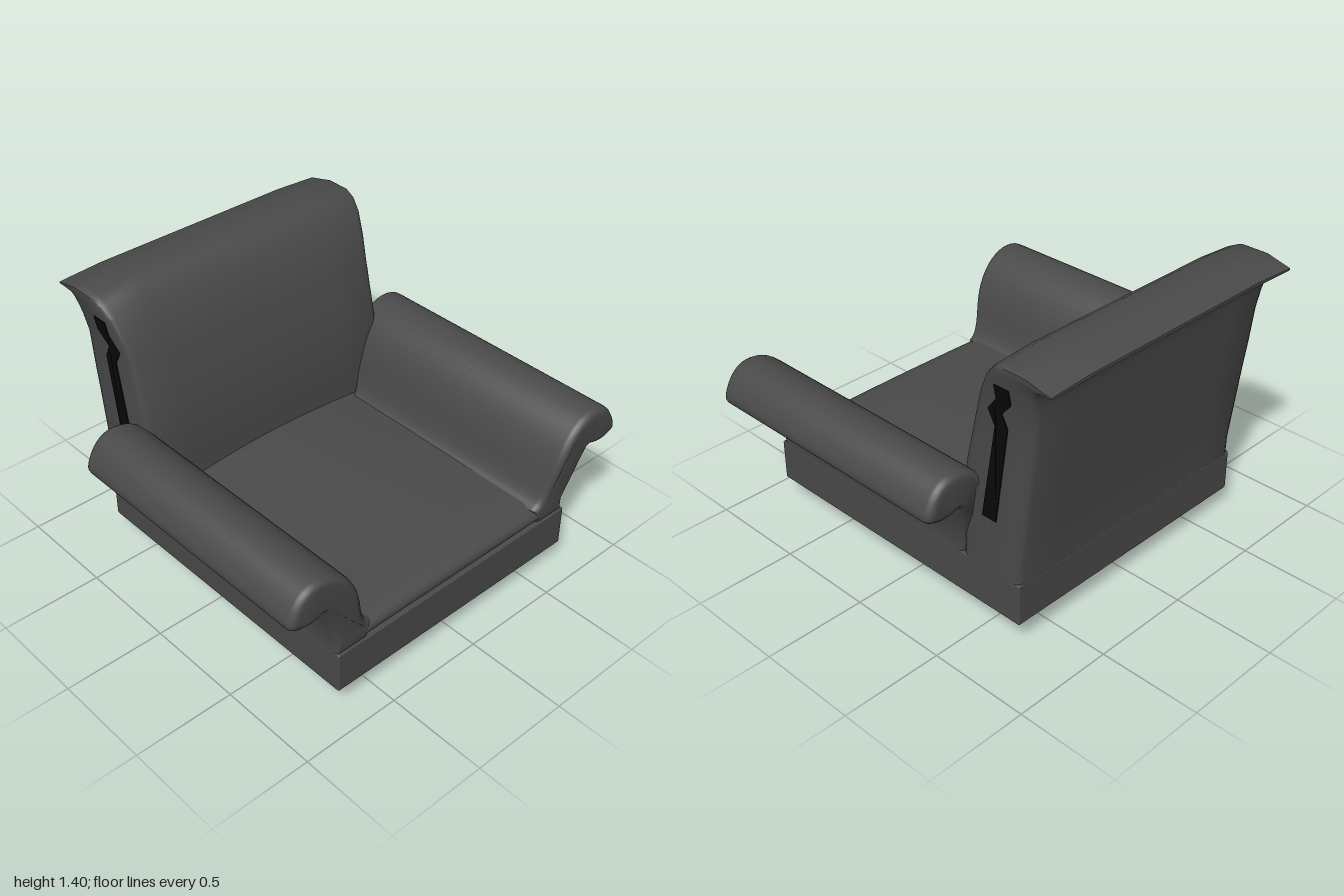
import * as THREE from 'three';
import { toCreasedNormals } from 'three/addons/utils/BufferGeometryUtils.js';
import { RoundedBoxGeometry } from 'three/addons/geometries/RoundedBoxGeometry.js';

const { clamp, smoothstep } = THREE.MathUtils;
const fabric = new THREE.MeshStandardMaterial({ color: 0x4a4a4a });
const dark = new THREE.MeshStandardMaterial({ color: 0x080808 });

// Half width of the backrest, flaring towards the top
const halfWidth = (y) => 0.715 + 0.045 * clamp((y - 1.13) / 0.25, 0, 1);

const toShape = (pts) => new THREE.Shape(pts.map(([x, y]) => new THREE.Vector2(x, y)));

// Moves every vertex of a geometry by a rule
function deform(geo, rule) {
  const p = geo.attributes.position;
  const v = new THREE.Vector3();
  for (let i = 0; i < p.count; i++) {
    rule(v.fromBufferAttribute(p, i));
    p.setXYZ(i, v.x, v.y, v.z);
  }
  return geo;
}

function smooth(geo, angle) {
  geo.deleteAttribute('uv');
  return toCreasedNormals(geo, angle);
}

// Extrudes a side profile of [z, y] points across the width, centred on x = 0
function extrudeAcross(pts, width, steps) {
  const geo = new THREE.ExtrudeGeometry(toShape(pts), { depth: width, steps, bevelEnabled: false });
  return geo.translate(0, 0, -width / 2).rotateY(-Math.PI / 2);
}

// Rolled arm: one cross-section run front to back with rounded ends
function armGeometry(side) {
  const roll = [
    [0.79, 0.6], [0.815, 0.648], [0.85, 0.638], [0.9, 0.628], [0.96, 0.642], [0.997, 0.67],
    [0.985, 0.725], [0.945, 0.79], [0.89, 0.828], [0.82, 0.834], [0.75, 0.81], [0.685, 0.755],
    [0.635, 0.67], [0.602, 0.58], [0.573, 0.475], [0.545, 0.415], [0.515, 0.395],
  ].map(([x, y]) => new THREE.Vector3(x, y, 0));
  const curve = new THREE.CatmullRomCurve3(roll).getPoints(40).map((p) => [p.x, p.y]);
  const outline = [[0.54, 0.31], [0.714, 0.31], [0.714, 0.385], ...curve];
  const shape = toShape(outline.map(([x, y]) => [x * side, y]));
  const bevel = 0.035;
  const geo = new THREE.ExtrudeGeometry(shape, {
    depth: 1.25 - 2 * bevel, bevelThickness: bevel, bevelSize: 0.03, bevelOffset: -0.03, bevelSegments: 4,
  });
  geo.translate(0, 0, -0.375 + bevel);
  // The roll overhangs the lower panel at both ends
  deform(geo, (v) => {
    const t = smoothstep(v.y, 0.38, 0.7);
    v.z += v.z > 0.25 ? 0.035 * t : -0.105 * t;
  });
  return smooth(geo, 0.9);
}

// Backrest: rings joining a front point to a back point, [frontZ, frontY, backZ, backY]
function backGeometry() {
  const rows = [
    [-0.375, 0.3, -0.708, 0.3], [-0.375, 0.42, -0.71, 0.4], [-0.38, 0.6, -0.735, 0.6],
    [-0.39, 0.8, -0.76, 0.8], [-0.425, 0.95, -0.78, 0.95], [-0.46, 1.1, -0.8, 1.13],
    [-0.495, 1.2, -0.81, 1.22], [-0.55, 1.305, -0.82, 1.27], [-0.6, 1.37, -0.84, 1.32],
    [-0.65, 1.4, -0.855, 1.333], [-0.78, 1.4, -0.88, 1.338], [-0.86, 1.375, -0.905, 1.342],
    [-0.915, 1.358, -0.915, 1.344],
  ];
  const half = [[0, 0], [0.35, 0], [0.7, 0], [0.955, 0], [0.988, 0.03], [1, 0.1], [1, 0.5],
    [1, 0.9], [0.988, 0.97], [0.955, 1], [0.7, 1], [0.35, 1], [0, 1]];
  const ring = [...half, ...half.slice(1, -1).reverse().map(([x, s]) => [-x, s])];
  const n = ring.length;
  const pos = [], index = [];
  rows.forEach(([fz, fy, bz, by], i) => {
    ring.forEach(([k, s], j) => {
      let y = fy + (by - fy) * s;
      const x = k * halfWidth(y);
      // Top edge sinks a little at the corners
      y -= 0.02 * clamp((Math.abs(x) - 0.55) / 0.2, 0, 1) * smoothstep(y, 1.3, 1.4);
      pos.push(x, y, fz + (bz - fz) * s);
      if (i > 0) {
        const a = (i - 1) * n + j, b = (i - 1) * n + ((j + 1) % n);
        index.push(a, b, b + n, a, b + n, a + n);
      }
    });
  });
  const last = (rows.length - 1) * n;
  for (let j = 1; j < n - 1; j++) {
    index.push(0, j + 1, j, last, last + j, last + j + 1);
  }
  const geo = new THREE.BufferGeometry();
  geo.setAttribute('position', new THREE.Float32BufferAttribute(pos, 3));
  geo.setIndex(index);
  return toCreasedNormals(geo, 0.9);
}

// Seat: rounded front edge and a crown rising towards the back
function seatGeometry() {
  const profile = [[-0.45, 0.335], [0.865, 0.335], [0.874, 0.345], [0.872, 0.365], [0.858, 0.383],
    [0.83, 0.394], [0.78, 0.4], [0.6, 0.4], [0.3, 0.4], [0, 0.4], [-0.3, 0.4], [-0.45, 0.4]];
  const geo = extrudeAcross(profile, 1.16, 16);
  deform(geo, (v) => {
    const rise = clamp((v.y - 0.345) / 0.055, 0, 1) * (0.25 + 0.75 * smoothstep(-v.z, -0.8, 0.1));
    v.y += 0.037 * rise * Math.cos((v.x / 1.16) * Math.PI);
  });
  return smooth(geo, 0.9);
}

// Dark kinked strip lying on a side of the backrest
function stripGeometry(side) {
  const pts = [[-0.5, 0.59], [-0.58, 0.59], [-0.65, 1.07], [-0.62, 1.13], [-0.68, 1.2], [-0.68, 1.27],
    [-0.6, 1.27], [-0.6, 1.2], [-0.54, 1.13], [-0.58, 1.06]];
  const geo = extrudeAcross(pts, 0.02, 1);
  deform(geo, (v) => { v.x += side * (halfWidth(v.y) - 0.005); });
  geo.computeVertexNormals();
  return geo;
}

// Leg: block tapering to a narrow foot
function legGeometry() {
  const geo = new THREE.BoxGeometry(0.176, 0.13, 0.16).translate(0, 0.065, 0);
  deform(geo, (v) => {
    if (v.y < 0.01) { v.x *= 0.22; v.z *= 0.62; }
  });
  return geo.toNonIndexed();
}

export function createModel() {
  const model = new THREE.Group();
  const add = (name, geo, material = fabric) => {
    if (!geo.attributes.normal) geo.computeVertexNormals();
    const mesh = new THREE.Mesh(geo, material);
    mesh.name = name;
    model.add(mesh);
    return mesh;
  };

  add('base', new RoundedBoxGeometry(1.43, 0.21, 1.59, 3, 0.008)).position.set(0, 0.217, 0.085);
  add('seat', seatGeometry());
  add('backrest', backGeometry());

  for (const [label, side] of [['left', 1], ['right', -1]]) {
    add(label + 'Arm', armGeometry(side));
    add(label + 'BackStrip', stripGeometry(side), dark);
    for (const [end, z] of [['Front', 0.64], ['Rear', -0.47]]) {
      const geo = legGeometry();
      geo.computeVertexNormals();
      add(label + end + 'Leg', geo, dark).position.set(side * 0.447, 0, z);
    }
  }
  return model;
}
